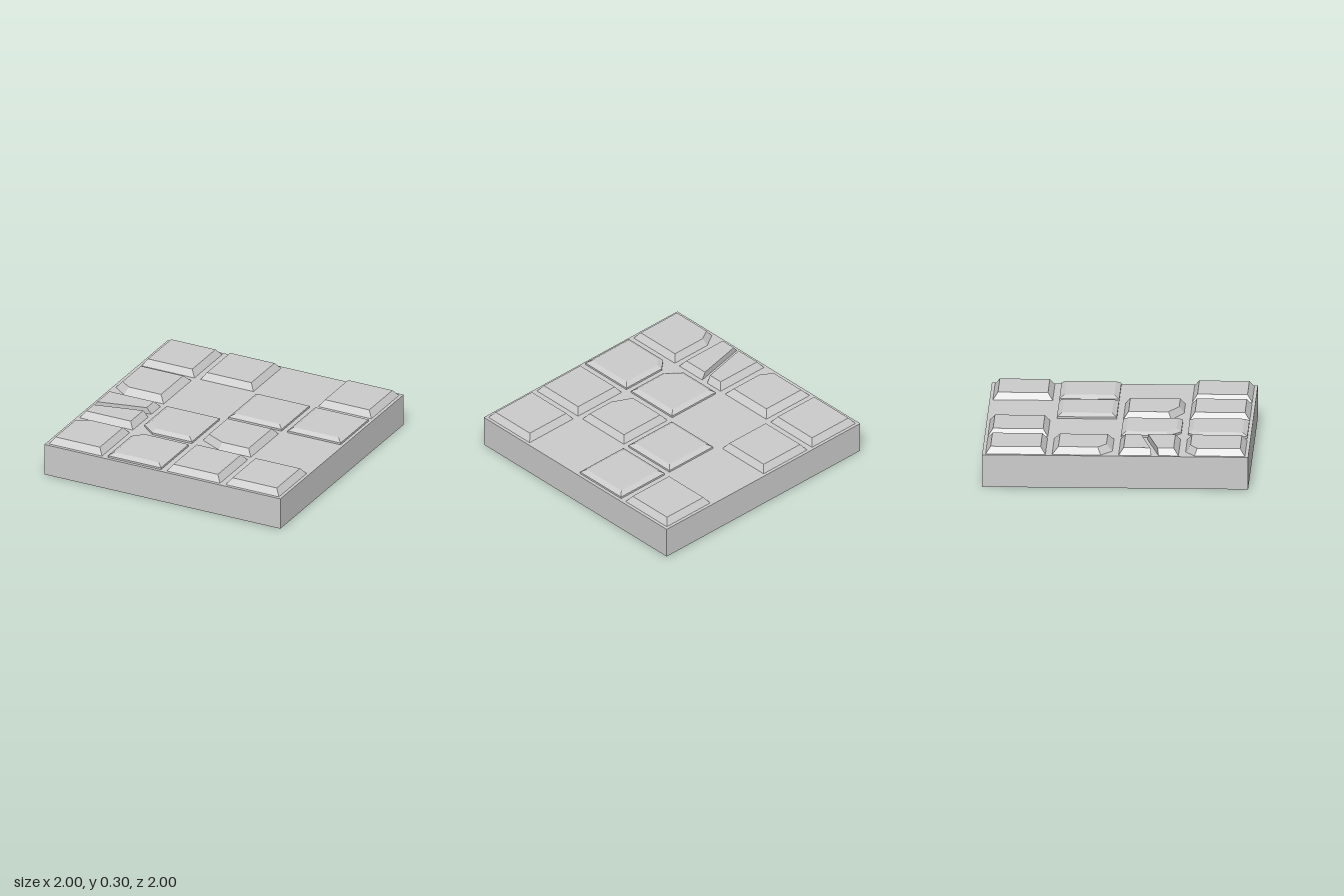
import * as THREE from 'three';

const BASE = 0.25, HALF = 0.225, BEVEL = 0.037;
const material = new THREE.MeshStandardMaterial({ color: 0xcccccc, flatShading: true });

// Move every edge of an [x, z] outline inwards by its own distance.
function inset(points, distances) {
  const n = points.length;
  const normals = points.map(([x, z], i) => {
    const [x2, z2] = points[(i + 1) % n];
    const length = Math.hypot(x2 - x, z2 - z);
    return [(z2 - z) / length, (x - x2) / length];
  });
  return points.map(([x, z], i) => {
    const k = (i + n - 1) % n;
    const [ax, az] = normals[k], [bx, bz] = normals[i];
    const a = distances[k], b = distances[i], det = ax * bz - az * bx;
    return [x + (a * bz - b * az) / det, z + (ax * b - bx * a) / det];
  });
}

// Slab with bevelled sides; rim is the height where the bevel starts.
function slab(name, points, distances, rim, top) {
  const lift = (outline, y) => outline.map(([x, z]) => [x, y, z]);
  const rings = [lift(points, BASE)];
  if (rim > BASE) rings.push(lift(points, rim));
  rings.push(lift(inset(points, distances), top));
  const n = points.length, out = [];
  for (let r = 0; r + 1 < rings.length; r++) {
    for (let i = 0; i < n; i++) {
      const j = (i + 1) % n, lo = rings[r], hi = rings[r + 1];
      out.push(...lo[i], ...lo[j], ...hi[j], ...lo[i], ...hi[j], ...hi[i]);
    }
  }
  const cap = rings[rings.length - 1];
  for (let i = 1; i + 1 < n; i++) out.push(...cap[0], ...cap[i], ...cap[i + 1]);
  const geometry = new THREE.BufferGeometry();
  geometry.setAttribute('position', new THREE.Float32BufferAttribute(out, 3));
  geometry.computeVertexNormals();
  const mesh = new THREE.Mesh(geometry, material);
  mesh.name = name;
  return mesh;
}

// Square outline, optionally with its left front or left back corner cut off.
function tileOutline(x, z, chip) {
  const x0 = x - HALF, x1 = x + HALF, z0 = z - HALF, z1 = z + HALF;
  const back = [[x0, z0]], front = [[x0, z1]];
  if (chip?.corner === 'front') front.splice(0, 1, [x0, z1 - chip.dz], [x0 + chip.dx, z1]);
  if (chip?.corner === 'back') back.splice(0, 1, [x0 + chip.dx, z0], [x0, z0 + chip.dz]);
  return [...back, ...front, [x1, z1], [x1, z0]];
}

export function createModel() {
  const model = new THREE.Group();
  model.name = 'tiledFloor';

  // Square base block
  const base = new THREE.Mesh(new THREE.BoxGeometry(2, BASE, 2), material);
  base.name = 'baseBlock';
  base.position.y = BASE / 2;
  model.add(base);

  // Whole and chipped tiles; three cells stay empty
  const tiles = [
    { x: -0.75, z: -0.75 },
    { x: -0.25, z: -0.75 },
    { x: 0.75, z: -0.75 },
    { x: -0.75, z: -0.25, bevel: 0.046, chip: { corner: 'front', dx: 0.115, dz: 0.085 } },
    { x: 0.25, z: -0.25, worn: true },
    { x: 0.75, z: -0.25, worn: true },
    { x: -0.25, z: 0.25, worn: true, chip: { corner: 'front', dx: 0.115, dz: 0.095 } },
    { x: 0.25, z: 0.25, chip: { corner: 'front', dx: 0.18, dz: 0.09 } },
    { x: -0.75, z: 0.75, chip: { corner: 'back', dx: 0.115, dz: 0.07 } },
    { x: -0.25, z: 0.75, worn: true, chip: { corner: 'back', dx: 0.085, dz: 0.075 } },
    { x: 0.25, z: 0.75 },
    { x: 0.75, z: 0.75 },
  ];
  for (const { x, z, worn, chip, bevel = BEVEL } of tiles) {
    const outline = tileOutline(x, z, chip);
    const name = (worn ? 'worn' : 'raised') + (chip ? 'ChippedTile' : 'Tile');
    model.add(slab(name, outline, outline.map(() => bevel), worn ? 0.265 : BASE, worn ? 0.287 : 0.3));
  }

  // Tile cracked in two, with upright faces along the crack
  const l = -0.975, r = -0.525;
  model.add(slab('crackedTileBack', [[l, 0.025], [l, 0.27], [r, 0.17], [r, 0.025]],
    [BEVEL, 0, BEVEL, BEVEL], BASE, 0.3));
  model.add(slab('crackedTileFront', [[l, 0.325], [l, 0.475], [r, 0.475], [r, 0.225]],
    [BEVEL, BEVEL, BEVEL, 0], BASE, 0.3));

  return model;
}
